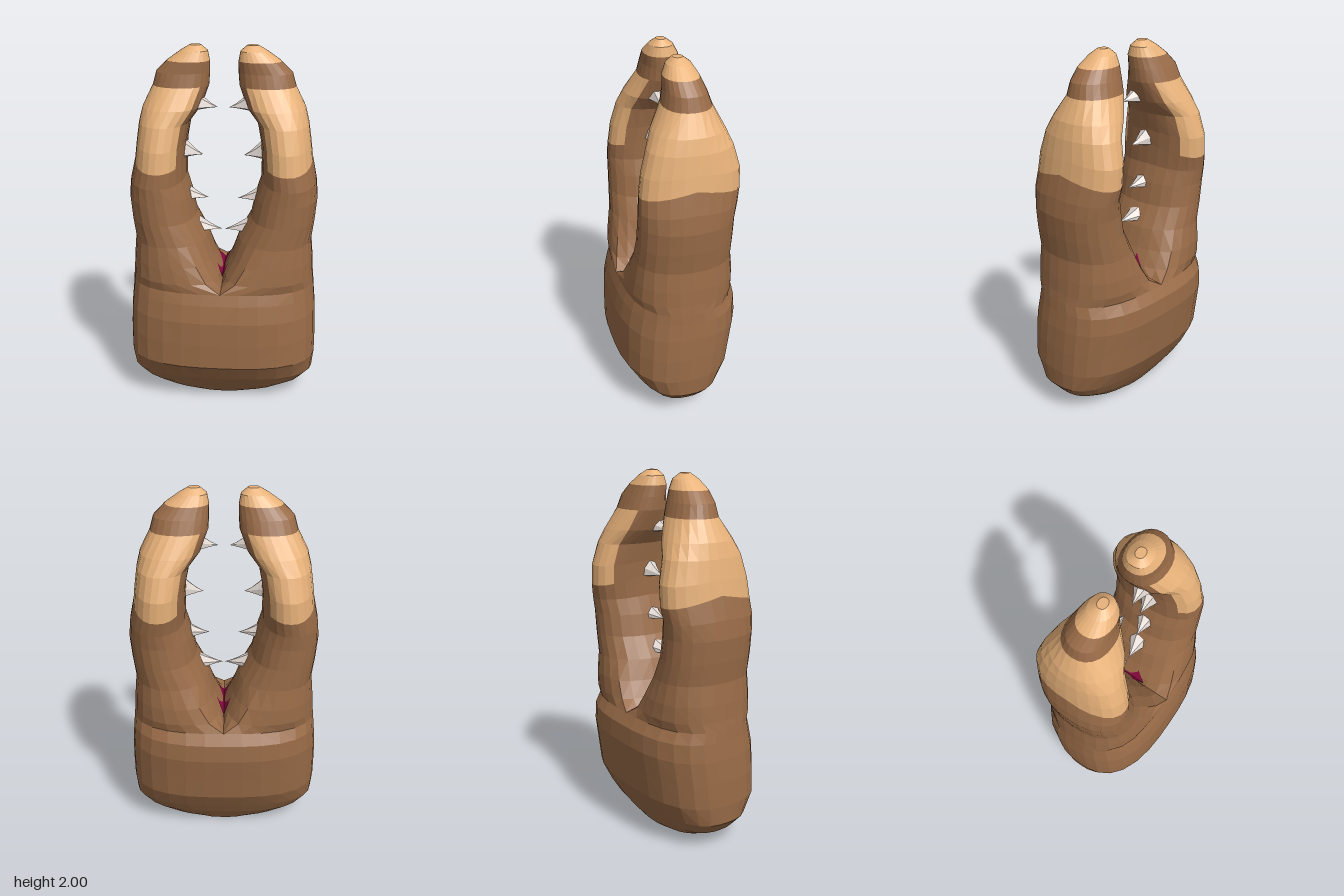
import * as THREE from 'three';

const SIDES = 24, LIP = (Math.PI * 2) / 3;
const mat = (color, side = THREE.FrontSide) =>
  new THREE.MeshStandardMaterial({ color, flatShading: true, roughness: 0.9, side });
const brown = mat(0x9a6c48), tan = mat(0xe8b27a), crimson = mat(0x8a0a40, THREE.DoubleSide), bone = mat(0xded4ce);

// Point of a superellipse of unit size at angle a
function oval(a, p) {
  const c = Math.cos(a), s = Math.sin(a), k = (Math.abs(c) ** p + Math.abs(s) ** p) ** (-1 / p);
  return [c * k, s * k];
}

// Cross-section of the left half: [height, inner x, outer x, front z, back z]
function ring([y, xi, xo, zf, zb]) {
  const cx = (xi + xo) / 2, rx = (xo - xi) / 2, cz = (zf + zb) / 2, rz = (zf - zb) / 2, pts = [];
  // 1 = half of the shared base, flat on x = 0; 0 = free-standing prong
  const merge = y < 0.72 ? 1 : Math.max(0, 2.1 * (0.95 - y));
  for (let j = 0; j < SIDES; j++) {
    const a = (j / SIDES) * Math.PI * 2 - Math.PI;
    const [px, pz] = oval(a, 2.25);
    const [hx, hz] = Math.abs(a) <= LIP + 1e-6
      ? oval(a * 0.75, 2.7)
      : [0, (Math.sign(a) * (Math.PI - Math.abs(a))) / (Math.PI - LIP)];
    const x = THREE.MathUtils.lerp(cx + rx * px, Math.max(0, xo * hx), merge);
    const z = cz + rz * THREE.MathUtils.lerp(pz, hz, merge);
    // The band's lower edge hangs down at front and back
    const dip = 0.06 * Math.max(0, 1 - Math.abs(y - 1.41) / 0.15) * Math.abs(pz);
    pts.push([x, y - dip, z]);
  }
  return pts;
}

// Skin between cross-sections; keep(height, cosine) chooses the faces of a part
function loft(sections, keep) {
  const rings = sections.map(ring), pos = [];
  for (let i = 0; i < rings.length - 1; i++) {
    for (let j = 0; j < SIDES; j++) {
      if (!keep(sections[i][0], Math.cos(((j + 0.5) / SIDES) * Math.PI * 2 - Math.PI))) continue;
      const n = (j + 1) % SIDES;
      const A = rings[i][j], B = rings[i + 1][j], C = rings[i][n], D = rings[i + 1][n];
      pos.push(...A, ...B, ...C, ...C, ...B, ...D);
    }
  }
  return finish(pos);
}

function finish(pos) {
  const g = new THREE.BufferGeometry();
  g.setAttribute('position', new THREE.Float32BufferAttribute(pos, 3));
  g.computeVertexNormals();
  return g;
}

// Mirror across x = 0 and restore the winding
function mirrored(geo) {
  const p = geo.attributes.position, pos = [];
  for (let i = 0; i < p.count; i += 3)
    for (const k of [i, i + 2, i + 1]) pos.push(-p.getX(k), p.getY(k), p.getZ(k));
  return finish(pos);
}

// Hooked tooth pointing to -x: flared root, flat underside, tip at (tipX, tipY)
function tooth(tipX, tipY, length, height, width) {
  const g = new THREE.ConeGeometry(1, 1, 7, 4, true).toNonIndexed();
  g.rotateZ(Math.PI / 2);
  const p = g.attributes.position;
  for (let i = 0; i < p.count; i++) {
    const r = p.getX(i) + 0.5, flare = Math.pow(Math.max(r, 1e-4), 0.25);
    const up = p.getY(i) * flare, across = p.getZ(i) * flare;
    p.setXYZ(i, tipX + length * r, tipY + up * height * (up > 0 ? 1 : 0.2), 0.02 * (1 - r) + across * width);
  }
  g.computeVertexNormals();
  return g;
}

const HALF = [
  [0.005, 0, 0, 0, 0],
  [0.01, 0, 0.19, 0.14, -0.14],
  [0.04, 0, 0.34, 0.17, -0.16],
  [0.1, 0, 0.46, 0.22, -0.2],
  [0.17, 0, 0.52, 0.27, -0.24],
  [0.28, 0, 0.53, 0.34, -0.3],
  [0.42, 0, 0.53, 0.34, -0.32],
  [0.55, 0, 0.525, 0.335, -0.34],
  [0.65, 0, 0.515, 0.315, -0.335],
  [0.71, 0, 0.51, 0.295, -0.3],
  [0.76, 0.01, 0.505, 0.29, -0.295],
  [0.85, 0.06, 0.5, 0.275, -0.285],
  [0.96, 0.085, 0.49, 0.255, -0.265],
  [1.08, 0.15, 0.505, 0.248, -0.26],
  [1.2, 0.175, 0.515, 0.245, -0.26],
  [1.3, 0.205, 0.505, 0.245, -0.27],
  [1.42, 0.205, 0.48, 0.24, -0.285],
  [1.5, 0.2, 0.47, 0.225, -0.285],
  [1.6, 0.18, 0.455, 0.19, -0.25],
  [1.68, 0.12, 0.435, 0.155, -0.215],
  [1.79, 0.08, 0.38, 0.09, -0.16],
  [1.86, 0.075, 0.36, 0.075, -0.135],
  [1.92, 0.075, 0.3, 0.07, -0.11],
  [1.97, 0.085, 0.23, 0.045, -0.08],
  [2.0, 0.12, 0.18, 0.01, -0.04],
  [2.0, 0.15, 0.15, -0.015, -0.015],
];

// Light band round the outside of each prong, light tip, brown elsewhere
const isBand = (y, c) => y > 1.4 && y < 1.75 && c > -0.75;
const isTip = (y) => y > 1.9;
const isHidden = (y, c) => y < 0.7 && c < -0.5;
const isBody = (y, c) => !isBand(y, c) && !isTip(y) && !isHidden(y, c);

const TEETH = [
  [0.005, 0.99, 0.14, 0.07, 0.07],
  [0.08, 1.175, 0.15, 0.09, 0.08],
  [0.11, 1.42, 0.14, 0.13, 0.08],
  [0.03, 1.68, 0.14, 0.11, 0.075],
];

export function createModel() {
  const model = new THREE.Group();
  model.name = 'toothedPincer';
  const add = (parent, name, geo, material) => {
    const m = new THREE.Mesh(geo, material);
    m.name = name;
    parent.add(m);
  };

  // Throat: V-shaped lining between the prongs
  const throat = [];
  for (const s of [1, -1])
    for (const z of [-0.16, 0.13]) throat.push(0, 0.745, z, s * 0.08, 0.9, -0.01, 0, 0.745, -0.01);
  add(model, 'throat', finish(throat), crimson);

  const parts = [
    ['body', loft(HALF, isBody), brown],
    ['band', loft(HALF, isBand), tan],
    ['tip', loft(HALF, isTip), tan],
    ...TEETH.map((t, i) => ['tooth' + (i + 1), tooth(...t), bone]),
  ];
  for (const side of ['left', 'right']) {
    const half = new THREE.Group();
    half.name = side + 'Half';
    for (const [name, geo, material] of parts) add(half, name, side === 'left' ? geo : mirrored(geo), material);
    model.add(half);
  }
  return model;
}
